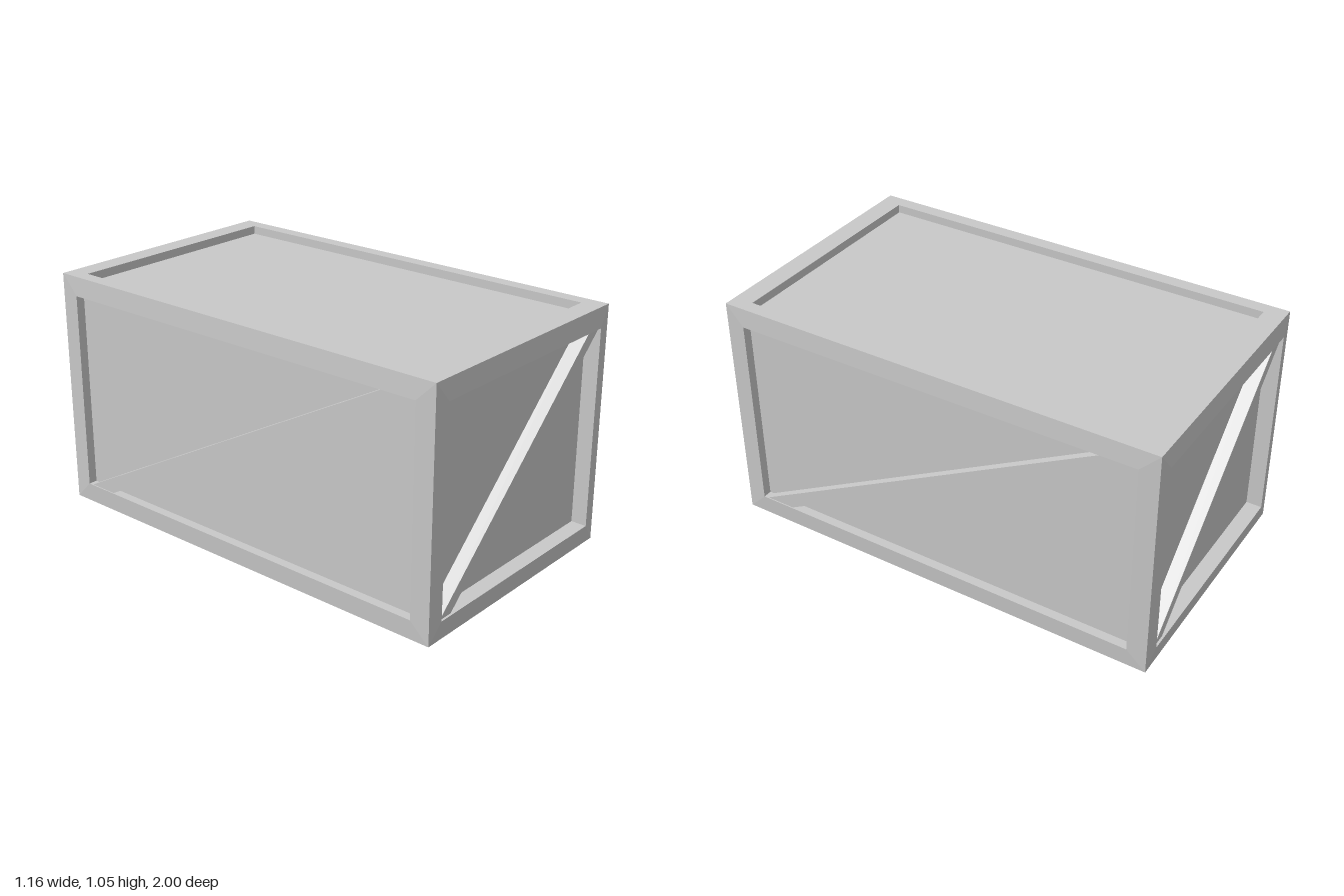
import * as THREE from 'three';

const grey = new THREE.MeshStandardMaterial({ color: 0xc8c8c8 });
grey.name = 'plain grey';

// Four corners of a rectangle, counter-clockwise, at depth w
const rect = (u, v, w) => [[-u, -v, w], [u, -v, w], [u, v, w], [-u, v, w]];

// Flat-shaded skin through rings of four corners, optionally capped at the last ring
function loft(name, rings, cap) {
  const pos = [];
  const quad = (a, b, c, d) => pos.push(...a, ...b, ...c, ...a, ...c, ...d);
  for (let r = 0; r + 1 < rings.length; r++) {
    for (let i = 0; i < 4; i++) {
      const j = (i + 1) % 4;
      quad(rings[r][i], rings[r][j], rings[r + 1][j], rings[r + 1][i]);
    }
  }
  if (cap) quad(...rings[rings.length - 1]);
  const geometry = new THREE.BufferGeometry();
  geometry.setAttribute('position', new THREE.Float32BufferAttribute(pos, 3));
  geometry.computeVertexNormals();
  const mesh = new THREE.Mesh(geometry, grey);
  mesh.name = name;
  return mesh;
}

// One side of the crate: raised border, recessed panel and optional diagonal brace.
// Each size is [half width, half height, distance from centre].
function crateSide(name, outer, rim, depth, brace) {
  const side = new THREE.Group();
  side.name = name;
  const [u, v, w] = rim;
  const floor = w - depth;
  side.add(loft('border', [rect(...outer), rect(...rim), rect(u, v, floor)], false));
  side.add(loft('panel', [rect(u, v, floor)], true));
  if (brace) {
    // Parallelogram from the lower left to the upper right corner
    const [inset, width] = brace;
    const a = u - inset, b = a - width;
    const ring = z => [[-a, -v, z], [-b, -v, z], [a, v, z], [b, v, z]];
    side.add(loft('diagonalBrace', [ring(floor), ring(outer[2])], true));
  }
  return side;
}

export function createModel() {
  const crate = new THREE.Group();
  crate.name = 'crate';
  const X = 0.575, Y = 0.525, Z = 0.99;
  const quarter = Math.PI / 2;

  // Two ends and two long sides, turned around the vertical axis
  ['front', 'left', 'back', 'right'].forEach((label, i) => {
    const side = i % 2 === 0
      ? crateSide(label + 'End', [X, Y, Z], [0.51, 0.44, 1.0], 0.07, [0, 0.07])
      : crateSide(label + 'Side', [Z, Y, X], [0.905, 0.44, 0.58], 0.04, [0.02, 0.135]);
    side.rotation.y = i * quarter;
    crate.add(side);
  });

  // Lid and base
  for (const [label, turn] of [['lid', -quarter], ['base', quarter]]) {
    const side = crateSide(label, [X, Z, Y], [0.515, 0.9, Y], 0.037, null);
    side.rotation.x = turn;
    crate.add(side);
  }

  crate.position.y = Y;
  const model = new THREE.Group();
  model.name = 'crateModel';
  model.add(crate);
  return model;
}
